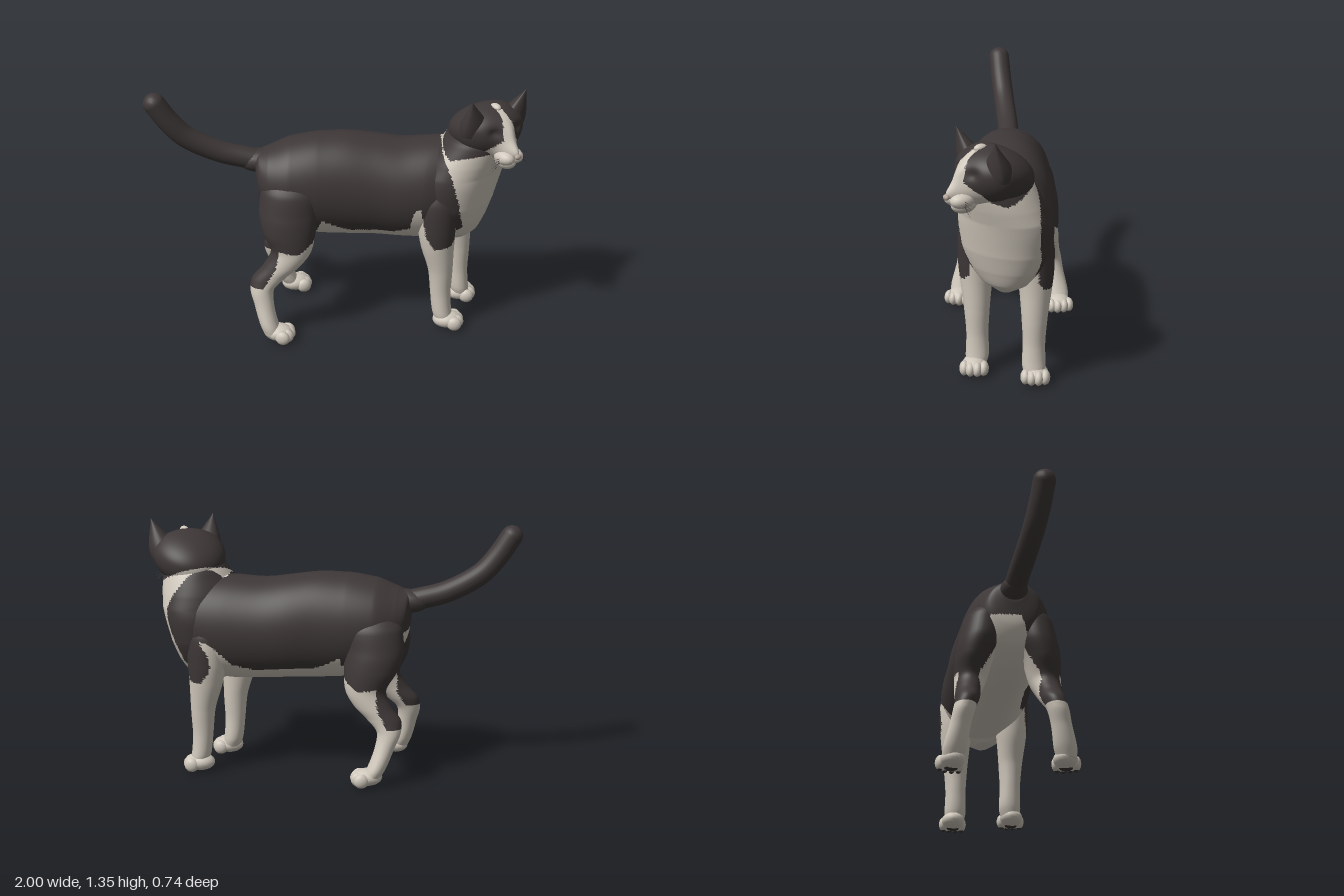
import * as THREE from 'three';

const { clamp, smoothstep } = THREE.MathUtils;
const material = (name, color) => {
  const m = new THREE.MeshStandardMaterial({ color });
  m.name = name;
  return m;
};

// Outline of the dark coat on the side of the animal, in x and y
const COAT = [[-0.6, 1.25], [0.545, 1.25], [0.55, 1.04], [0.60, 0.92], [0.64, 0.78], [0.65, 0.62], [0.60, 0.52],
  [0.52, 0.51], [0.47, 0.58], [0.445, 0.75], [0.41, 0.73], [0.38, 0.62], [0.2, 0.56], [0.05, 0.6], [-0.08, 0.67],
  [-0.11, 0.57], [-0.2, 0.51], [-0.30, 0.52], [-0.32, 0.42], [-0.39, 0.31], [-0.6, 0.31]];

function inside(poly, x, y) {
  let hit = false;
  for (let i = 0, j = poly.length - 1; i < poly.length; j = i++) {
    const [ax, ay] = poly[i], [bx, by] = poly[j];
    if ((ay > y) !== (by > y) && x < ((bx - ax) * (y - ay)) / (by - ay) + ax) hit = !hit;
  }
  return hit;
}

// The right-hand legs and shoulder stand further forward than the left-hand ones
const hindStep = (y) => 0.085 * clamp(1 - y / 0.7, 0, 1);
function coatX(x, y, z) {
  const high = smoothstep(y, 0.6, 0.95);
  const shoulder = (1 - high) * 0.3 * (z - 0.2) - high * 1.8 * Math.max(0, -z - 0.08);
  const hind = x < 0.1 && z < 0 ? -hindStep(y) : 0;
  return x + smoothstep(x, 0.1, 0.45) * shoulder + hind;
}
const inCoat = (x, y, z) => inside(COAT, coatX(x, y, z), y);
const onBody = (x, y, z) => inCoat(x, y, z) && (y > 0.8 || Math.abs(z + 0.03) > 0.08 + 0.4 * (0.8 - y));

// Lower edge of the dark hood on the head; f is the distance toward the face
const HEAD = new THREE.Vector3(0.785, 1.165, 0.025), HEAD_TURN = 0.62;
const inHood = (f, y) => y > 1.01 + (f < 0 ? -0.5 : 0.33) * f;
const toFace = (x, z) => (x - HEAD.x) * Math.sin(HEAD_TURN) + (z - HEAD.z) * Math.cos(HEAD_TURN);

// Sort triangles into two material groups by a rule on their centres
function paint(geo, isFirst) {
  const p = geo.attributes.position, index = geo.index.array, first = [], second = [];
  const mean = (f, a, b, c) => (f(a) + f(b) + f(c)) / 3;
  for (let i = 0; i < index.length; i += 3) {
    const t = [index[i], index[i + 1], index[i + 2]];
    const x = mean((k) => p.getX(k), ...t), y = mean((k) => p.getY(k), ...t), z = mean((k) => p.getZ(k), ...t);
    (isFirst(x, y, z) ? first : second).push(...t);
  }
  geo.setIndex([...first, ...second]);
  geo.clearGroups();
  geo.addGroup(0, first.length, 0);
  geo.addGroup(first.length, second.length, 1);
  return geo;
}

// Smooth skin through oval rings; rows are [x, y, z, radiusA, radiusB].
// Lofts along x run toward +x, lofts along y run downward.
function loft(rows, axis, steps, sides) {
  const centres = new THREE.CatmullRomCurve3(rows.map((r) => new THREE.Vector3(r[0], r[1], r[2])));
  const radii = new THREE.CatmullRomCurve3(rows.map((r) => new THREE.Vector3(r[3], r[4], 0)));
  const pos = [], idx = [];
  for (let i = -1; i <= steps + 1; i++) {
    const t = clamp(i / steps, 0, 1), c = centres.getPoint(t);
    const r = i < 0 || i > steps ? new THREE.Vector3() : radii.getPoint(t);
    for (let j = 0; j < sides; j++) {
      const a = (j / sides) * Math.PI * 2, u = r.x * Math.cos(a), v = r.y * Math.sin(a);
      pos.push(axis === 'x' ? c.x : c.x + u, axis === 'x' ? c.y + u : c.y, c.z + v);
    }
  }
  for (let i = 0; i < steps + 2; i++) {
    for (let j = 0; j < sides; j++) {
      const a = i * sides + j, b = i * sides + ((j + 1) % sides), c = a + sides, d = b + sides;
      idx.push(a, b, c, b, d, c);
    }
  }
  const geo = new THREE.BufferGeometry();
  geo.setAttribute('position', new THREE.Float32BufferAttribute(pos, 3));
  // Turn the faces outward
  const at = geo.attributes.position, [A, B, C] = [0, 1, 2].map(() => new THREE.Vector3());
  let volume = 0;
  for (let i = 0; i < idx.length; i += 3) {
    [A, B, C].forEach((v, k) => v.fromBufferAttribute(at, idx[i + k]));
    volume += A.dot(B.cross(C));
  }
  geo.setIndex(volume < 0 ? idx.reverse() : idx);
  geo.computeVertexNormals();
  return geo;
}

// Move every vertex by a rule
function reshape(geo, rule) {
  const p = geo.attributes.position;
  for (let i = 0; i < p.count; i++) p.setXYZ(i, ...rule(p.getX(i), p.getY(i), p.getZ(i)));
  geo.computeVertexNormals();
  return geo;
}

export function createModel() {
  const dark = material('dark fur', 0x3e3737), white = material('white fur', 0xcfc7bb);
  const noseSkin = material('nose skin', 0xb0a297);
  const coat = [dark, white];
  const cat = new THREE.Group();
  cat.name = 'cat';
  const add = (parent, name, geo, mat) => {
    const m = new THREE.Mesh(geo, mat);
    m.name = name;
    parent.add(m);
    return m;
  };
  const ball = (parent, name, mat, [x, y, z], [rx, ry, rz]) => {
    const m = add(parent, name, new THREE.SphereGeometry(1, 18, 12), mat);
    m.position.set(x, y, z);
    m.scale.set(rx, ry, rz);
    return m;
  };

  // Trunk: x, top, bottom, half width, centre z
  const trunk = [[-0.43, 0.99, 0.87, 0.06, 0.01], [-0.41, 1.0, 0.75, 0.13, 0.01], [-0.36, 1.02, 0.66, 0.175, 0.01],
    [-0.25, 1.065, 0.58, 0.22, 0], [-0.1, 1.09, 0.53, 0.23, -0.01], [0.05, 1.093, 0.52, 0.23, -0.02],
    [0.2, 1.075, 0.515, 0.235, -0.03], [0.35, 1.055, 0.505, 0.24, -0.03], [0.5, 1.062, 0.5, 0.24, -0.035],
    [0.62, 1.06, 0.52, 0.225, -0.04], [0.72, 0.99, 0.6, 0.16, -0.04], [0.78, 0.88, 0.72, 0.07, -0.04]]
    .map(([x, t, b, w, z]) => [x, (t + b) / 2, z, (t - b) / 2, w]);
  add(cat, 'trunk', paint(reshape(loft(trunk, 'x', 160, 96),
    (x, y, z) => [x - 0.3 * (z + 0.03) * smoothstep(x, 0.25, 0.65), y, z]), onBody), coat);

  // Chest and neck, turned slightly toward the left
  const chest = [[0.75, 1.19, 0.02, 0.12, 0.12], [0.735, 1.08, 0.0, 0.175, 0.18], [0.695, 0.97, -0.02, 0.208, 0.212],
    [0.66, 0.85, -0.03, 0.21, 0.235], [0.645, 0.72, -0.03, 0.19, 0.225], [0.645, 0.62, -0.03, 0.155, 0.185],
    [0.645, 0.54, -0.03, 0.115, 0.125], [0.64, 0.49, -0.03, 0.06, 0.045]];
  add(cat, 'chestAndNeck', paint(reshape(loft(chest, 'y', 100, 96),
    (x, y, z) => [x - 0.3 * (z + 0.03) * clamp((1.1 - y) / 0.2, 0, 1), y, z]),
  (x, y, z) => onBody(x, y, z) || inHood(toFace(x, z), y)), coat);

  // Paw with toes and dark pads underneath
  function paw(name, x, z, yaw) {
    const g = new THREE.Group();
    g.name = name;
    g.position.set(x, 0, z);
    g.rotation.y = yaw;
    ball(g, 'foot', white, [-0.005, 0.05, 0], [0.08, 0.046, 0.064]);
    ball(g, 'solePad', dark, [0.01, 0.012, 0], [0.035, 0.01, 0.035]);
    [-0.05, -0.018, 0.018, 0.05].forEach((tz) => {
      const tx = 0.052 - Math.abs(tz) * 0.4;
      ball(g, 'toe', white, [tx, 0.043, tz], [0.04, 0.039, 0.026]);
      ball(g, 'toePad', dark, [tx + 0.006, 0.009, tz], [0.018, 0.009, 0.012]);
    });
    cat.add(g);
  }

  // Legs: rows are y, x, z, radius along x, radius along z
  const foreRows = [[0.88, 0.54, 0.08, 0.08, 0.07], [0.75, 0.535, 0.11, 0.112, 0.1], [0.6, 0.535, 0.118, 0.102, 0.095],
    [0.5, 0.54, 0.12, 0.09, 0.083], [0.35, 0.56, 0.117, 0.066, 0.066], [0.2, 0.565, 0.115, 0.055, 0.057],
    [0.1, 0.575, 0.115, 0.053, 0.06], [0.04, 0.59, 0.12, 0.05, 0.05]];
  const hindRows = [[0.94, -0.23, 0.09, 0.08, 0.06], [0.82, -0.235, 0.13, 0.165, 0.11], [0.7, -0.25, 0.15, 0.16, 0.115],
    [0.6, -0.25, 0.18, 0.14, 0.098], [0.5, -0.24, 0.195, 0.108, 0.082], [0.42, -0.29, 0.21, 0.1, 0.07],
    [0.35, -0.36, 0.22, 0.09, 0.062], [0.29, -0.395, 0.235, 0.064, 0.056], [0.2, -0.385, 0.255, 0.052, 0.054],
    [0.1, -0.36, 0.275, 0.05, 0.06], [0.04, -0.335, 0.285, 0.05, 0.05]];
  [1, -1].forEach((s) => {
    const label = s > 0 ? 'left' : 'right', foreZ = s > 0 ? 0.15 : -0.205;
    const fore = foreRows.map(([y, x, z, a, b]) => [s > 0 ? x : x + 0.11, y, s > 0 ? z : -z - 0.065, a, b]);
    add(cat, label + 'FrontLeg', paint(loft(fore, 'y', 90, 40),
      (x, y, z) => inCoat(x, y, z) && (z - foreZ) * s > 0), coat);
    paw(label + 'FrontPaw', s > 0 ? 0.61 : 0.695, s > 0 ? 0.127 : -0.19, 0);

    const hind = hindRows.map(([y, x, z, a, b]) => [s > 0 ? x : x + hindStep(y), y, z * s, a, b]);
    add(cat, label + 'HindLeg', paint(loft(hind, 'y', 90, 40),
      (x, y, z) => inCoat(x, y, z) && (z * s > 0.16 || coatX(x, y, z) < -0.34)), coat);
    paw(label + 'HindPaw', s > 0 ? -0.305 : -0.235, 0.285 * s, -0.25 * s);
  });

  // Tail, sweeping back and up
  const tailPath = new THREE.CatmullRomCurve3([[-0.34, 0.93, 0.01], [-0.48, 0.96, 0.015], [-0.62, 1.0, 0.03],
    [-0.79, 1.095, 0.06], [-0.875, 1.19, 0.08], [-0.942, 1.293, 0.095]].map((p) => new THREE.Vector3(...p)));
  add(cat, 'tail', new THREE.TubeGeometry(tailPath, 40, 0.058, 24), dark);
  ball(cat, 'tailTip', dark, [-0.942, 1.293, 0.095], [0.058, 0.056, 0.058]);
  ball(cat, 'tailRoot', dark, [-0.40, 0.943, 0.01], [0.13, 0.064, 0.075]);

  // Head, built facing +z and then turned
  const head = new THREE.Group();
  head.name = 'head';
  head.position.copy(HEAD);
  head.rotation.y = HEAD_TURN;
  cat.add(head);
  const bump = (dx, w, dy, h) => Math.exp(-((dx / w) ** 2) - (dy / h) ** 2);
  const skull = reshape(new THREE.SphereGeometry(1, 110, 90), (a, b, c) => {
    const x = a * 0.196, z = c * (c > 0 ? 0.17 : 0.212);
    const y = b * (b > 0 ? 0.125 : 0.168);
    // Nape slopes down behind; snout, brow and eye hollows in front
    if (c <= 0) return [x, y + 0.27 * z, z];
    const snout = 0.1 * bump(x, 0.05, y + 0.105, 0.06) + 0.03 * bump(x, 0.035, y + 0.02, 0.08);
    const eye = 0.018 * bump(Math.abs(x) - 0.075, 0.03, y - 0.01, 0.025);
    return [x, y, z + (snout - eye) * smoothstep(c, 0, 0.4)];
  });
  const blaze = (y) => (y > -0.03 ? 0.042 - 0.23 * Math.max(y, 0) : Math.min(0.043 + 1.1 * (-0.03 - y), 0.105));
  add(head, 'skull', paint(skull, (x, y, z) => inHood(z, y + HEAD.y)
    && !(z > 0.03 && y < 0.122 && Math.abs(x) < blaze(y))), coat);

  // Muzzle, chin, nose and forehead tuft
  ball(head, 'chin', white, [0, -0.15, 0.155], [0.048, 0.045, 0.068]);
  ball(head, 'nose', noseSkin, [0, -0.1, 0.251], [0.02, 0.015, 0.014]);
  ball(head, 'foreheadTuft', white, [0, 0.112, 0.06], [0.022, 0.02, 0.035]);
  [-1, 1].forEach((s) => {
    ball(head, 'whiskerPad', white, [0.028 * s, -0.12, 0.178], [0.046, 0.04, 0.065]);
    for (let k = 0; k < 4; k++) {
      const whisker = add(head, 'whisker', new THREE.ConeGeometry(0.002, 0.08, 5), dark);
      whisker.position.set((0.092 + 0.002 * k) * s, -0.115 - 0.016 * k, 0.19);
      whisker.rotation.z = -s * (1.65 + 0.18 * k);
    }

    // Ear: a broad leaning cone with bulging sides and a shallow hollow front
    const ear = reshape(new THREE.ConeGeometry(0.092, 0.205, 32, 16), (x, y, z) => {
      const up = y / 0.205 + 0.5, round = 1 + 0.9 * up * (1 - up);
      const front = z > 0 ? 0.55 : 1.15;
      return [x * round + s * 0.076 * up, y, z * front * round + 0.045 * up];
    });
    add(head, s > 0 ? 'leftEar' : 'rightEar', ear, dark).position.set(0.104 * s, 0.083, 0.045);
  });
  return cat;
}
